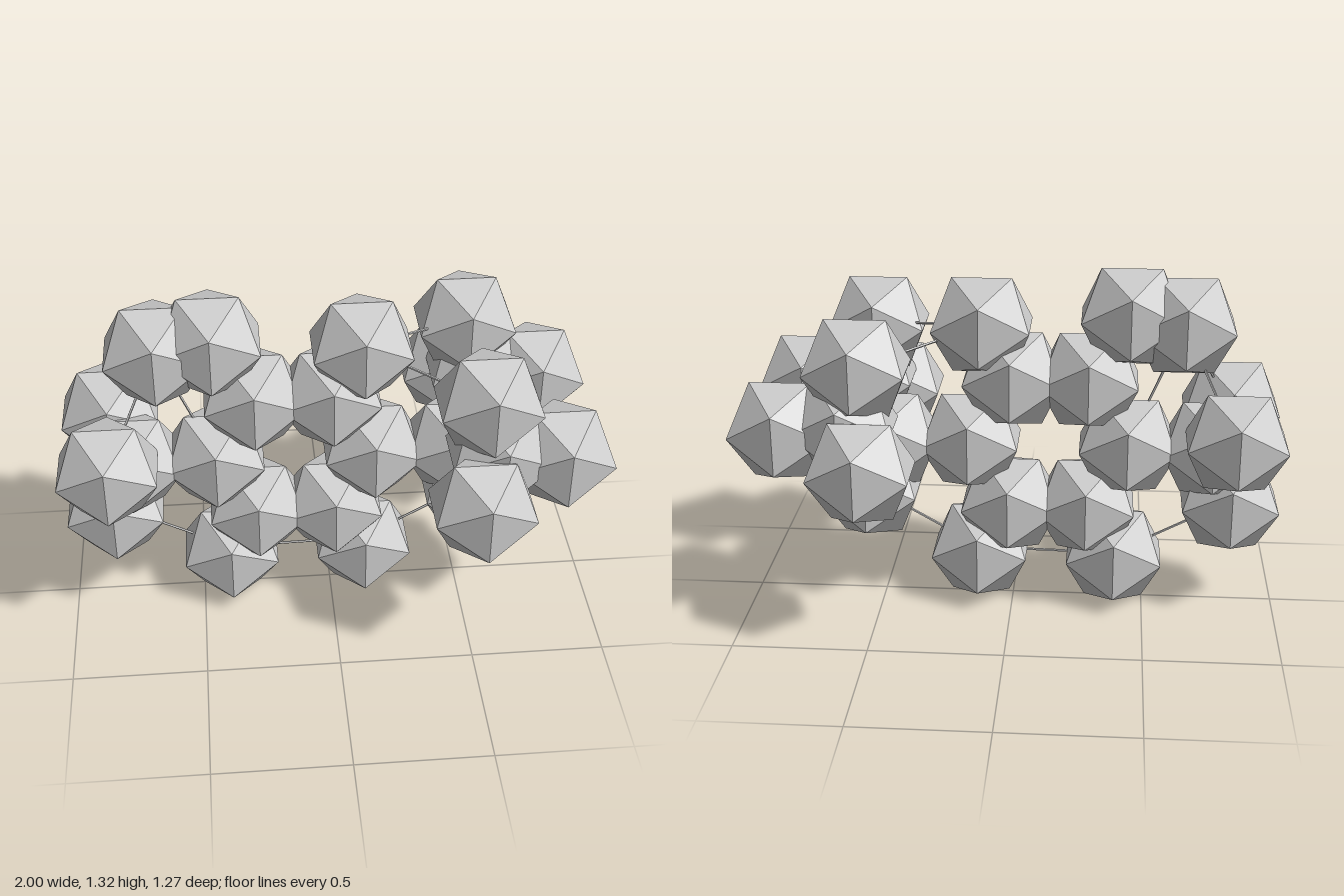
import * as THREE from 'three';

const RADIUS = 0.211;
const ROD = 0.005;

// Ball centres; those with z > 0 are mirrored to -z
const balls = {
  ring1: [-0.43, 0.637, 0], ring2: [-0.283, 0.892, 0], ring3: [0.003, 0.892, 0],
  ring4: [0.159, 0.643, 0], ring5: [0.012, 0.387, 0], ring6: [-0.28, 0.387, 0],
  sideCentre: [-0.743, 0.632, 0], sideLow: [-0.82, 0.413, 0], sidePair: [-0.82, 0.73, 0.187],
  topInner: [-0.43, 1.14, 0], topOuter: [-0.628, 1.108, 0],
  ringTop: [0.115, 1.095, 0], ringBottomRight: [0.126, 0.191, 0], ringBottomLeft: [-0.388, 0.182, 0],
  branchCentre: [0.47, 0.64, 0], branchLow: [0.545, 0.432, 0],
  armCentre: [0.591, 0.791, 0.27], armTop: [0.538, 1.013, 0.275],
  armEnd: [0.818, 0.77, 0.268], armOuter: [0.506, 0.692, 0.455],
};

// Pairs joined by thin rods
const links = [
  ['ring1', 'ring2'], ['ring2', 'ring3'], ['ring3', 'ring4'],
  ['ring4', 'ring5'], ['ring5', 'ring6'], ['ring6', 'ring1'],
  ['ring1', 'sideCentre'], ['sideCentre', 'sideLow'], ['sideCentre', 'sidePair'],
  ['ring2', 'topInner'], ['topInner', 'topOuter'], ['ring3', 'ringTop'],
  ['ring5', 'ringBottomRight'], ['ring6', 'ringBottomLeft'],
  ['ring4', 'branchCentre'], ['branchCentre', 'branchLow'], ['branchCentre', 'armCentre'],
  ['armCentre', 'armTop'], ['armCentre', 'armEnd'], ['armCentre', 'armOuter'],
  // outer rods between neighbouring balls
  ['topOuter', 'sidePair'], ['topOuter', 'ring1'], ['sideLow', 'ringBottomLeft'],
  ['ringBottomLeft', 'ringBottomRight'], ['ringBottomRight', 'branchLow'],
  ['branchLow', 'armOuter'], ['branchLow', 'armEnd'], ['ringTop', 'armTop'],
];

export function createModel() {
  const model = new THREE.Group();
  const material = new THREE.MeshStandardMaterial({ color: 0xcccccc, flatShading: true });
  const ballGeometry = new THREE.IcosahedronGeometry(RADIUS, 0);
  const rodGeometry = new THREE.CylinderGeometry(ROD, ROD, 1, 5);
  const up = new THREE.Vector3(0, 1, 0);
  const point = (name, side) => {
    const [x, y, z] = balls[name];
    return new THREE.Vector3(x, y, z * side);
  };
  const sides = (...names) => (names.some((n) => balls[n][2] > 0) ? [1, -1] : [1]);

  // Faceted balls
  for (const name of Object.keys(balls)) {
    for (const side of sides(name)) {
      const ball = new THREE.Mesh(ballGeometry, material);
      ball.name = name + 'Ball' + (side < 0 ? 'Back' : '');
      ball.position.copy(point(name, side));
      model.add(ball);
    }
  }

  // Thin connecting rods
  for (const [from, to] of links) {
    for (const side of sides(from, to)) {
      const a = point(from, side);
      const b = point(to, side);
      const direction = b.clone().sub(a);
      const rod = new THREE.Mesh(rodGeometry, material);
      rod.name = 'connectingRod';
      rod.position.copy(a).lerp(b, 0.5);
      rod.scale.y = direction.length();
      rod.quaternion.setFromUnitVectors(up, direction.normalize());
      model.add(rod);
    }
  }
  return model;
}
